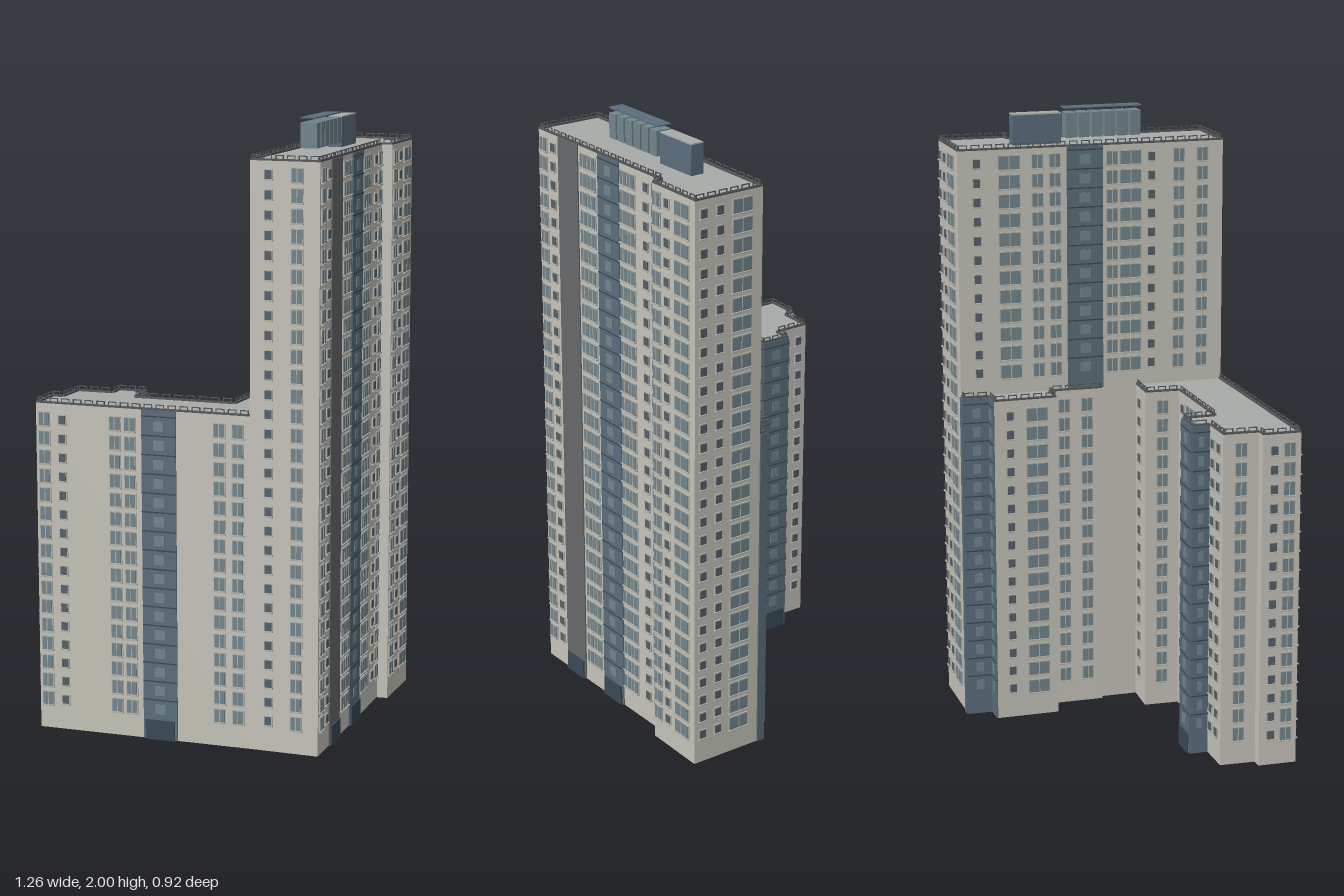
import * as THREE from 'three';
import { mergeGeometries } from 'three/addons/utils/BufferGeometryUtils.js';

const paint = (color) => new THREE.MeshStandardMaterial({ color });
const MAT = {
  wall: paint(0xc6c4ba), roof: paint(0xa9aba9), frame: paint(0xb4b3aa), glass: paint(0x71868d),
  darkGlass: paint(0x566168), blue: paint(0x5b6e7c), grey: paint(0x66696b),
  door: paint(0x384a56), rail: paint(0x55585a),
};
const TALL = 1.885, LOW = 1.085, BASE = 0.07, PITCH = 0.0622;
const TALL_FLOORS = 29, LOW_FLOORS = 16;

// Plan corners [x, z], each running left to right as seen from outside
const tallPlan = [[-0.165, 0.455], [0.415, 0.13], [0.435, 0.16], [0.63, 0.055], [0.51, -0.163], [-0.273, 0.255]];
const eastPlan = [[0.51, -0.163], [0.497, -0.186], [0.42, -0.15], [0.388, -0.207], [0.205, -0.108],
  [0.24, -0.037], [0.087, 0.044], [0.095, 0.059]];
const wingPlan = [[-0.013, 0.116], [-0.066, 0.01], [-0.168, 0.06], [-0.333, -0.234], [-0.242, -0.288],
  [-0.29, -0.38], [-0.34, -0.352], [-0.4, -0.458], [-0.503, -0.407], [-0.52, -0.437], [-0.63, -0.38], [-0.273, 0.255]];

// Window sizes [width, height, glass material]
const WINDOWS = {
  small: [0.022, 0.027, 'darkGlass'],
  medium: [0.034, 0.042, 'glass'],
  wide: [0.068, 0.042, 'glass'],
};

// Fronts: window columns [position 0..1, kind], strips [from, to, material, hasDoor]
const tallFacades = [
  { edge: 0, name: 'frontFacade',
    cols: [[0.045, 'medium'], [0.125, 'small'], [0.385, 'medium'], [0.452, 'medium'], [0.71, 'medium'],
      [0.77, 'medium'], [0.885, 'small'], [0.96, 'medium']],
    strips: [[0.17, 0.335, 'grey', true], [0.5, 0.67, 'blue', true]] },
  { edge: 2, name: 'frontStepFacade', cols: [[0.12, 'medium'], [0.36, 'small'], [0.71, 'wide']] },
  { edge: 3, name: 'eastEndFacade', cols: [[0.12, 'small'], [0.36, 'small'], [0.69, 'wide']] },
  { edge: 4, name: 'upperBackFacade', from: LOW_FLOORS + 1,
    cols: [[0.07, 'small'], [0.19, 'wide'], [0.295, 'medium'], [0.36, 'medium'], [0.575, 'medium'],
      [0.645, 'wide'], [0.725, 'small'], [0.83, 'medium'], [0.92, 'medium']],
    strips: [[0.405, 0.54, 'blue']] },
  { edge: 5, name: 'westEndFacade', cols: [[0.27, 'small'], [0.68, 'medium']] },
];
const eastFacades = [
  { edge: 0, name: 'recessSide', strips: [[0, 1, 'blue']] },
  { edge: 1, name: 'recessBack', strips: [[0, 1, 'blue']] },
  { edge: 2, name: 'baySide', strips: [[0, 1, 'blue']] },
  { edge: 3, name: 'bayFacade', cols: [[0.25, 'small'], [0.68, 'wide']] },
  { edge: 5, name: 'courtFacade', cols: [[0.25, 'medium'], [0.7, 'medium']] },
];
const wingFacades = [
  { edge: 0, name: 'cornerBayFacade', cols: [[0.45, 'small']] },
  { edge: 1, name: 'cornerBaySide', cols: [[0.5, 'medium']] },
  { edge: 2, name: 'innerFacade', cols: [[0.13, 'small'], [0.36, 'wide'], [0.6, 'medium'], [0.78, 'medium']] },
  { edge: 3, name: 'stairBaySide', strips: [[0, 1, 'blue']] },
  { edge: 4, name: 'stairBay', strips: [[0, 1, 'blue', true]] },
  { edge: 5, name: 'stairBayReturn', strips: [[0, 1, 'blue']] },
  { edge: 6, name: 'innerEndFacade', cols: [[0.3, 'small'], [0.72, 'small']] },
  { edge: 7, name: 'wingEndFacade', cols: [[0.5, 'medium']] },
  { edge: 9, name: 'wingEndStepFacade', cols: [[0.3, 'small'], [0.7, 'medium']] },
  { edge: 10, name: 'outerFacade',
    cols: [[0.04, 'medium'], [0.125, 'small'], [0.375, 'medium'], [0.445, 'medium'], [0.86, 'medium'], [0.945, 'medium']],
    strips: [[0.5, 0.66, 'blue', true]] },
];

function box(w, h, d, x, y, z) {
  return new THREE.BoxGeometry(w, h, d).translate(x, y, z);
}

// Group lying on a wall: local x runs along it, local z points outward
function wallGroup(a, b, name) {
  const dx = b[0] - a[0], dz = b[1] - a[1];
  const group = new THREE.Group();
  group.name = name;
  group.position.set(a[0], 0, a[1]);
  group.rotation.y = Math.atan2(-dz, dx);
  return { group, length: Math.hypot(dx, dz) };
}

function addMerged(group, parts) {
  for (const [key, list] of Object.entries(parts)) {
    const mesh = new THREE.Mesh(mergeGeometries(list), MAT[key]);
    mesh.name = key + 'Parts';
    group.add(mesh);
  }
}

function buildFacade(a, b, spec, floors, top) {
  const { group, length } = wallGroup(a, b, spec.name);
  const parts = {};
  const put = (key, ...dims) => (parts[key] ??= []).push(box(...dims));
  const first = spec.from ?? 0;
  // Full-height coloured strips with stair windows and doors
  for (const [t0, t1, key, door] of spec.strips ?? []) {
    const w = (t1 - t0) * length, x = (t0 + t1) / 2 * length;
    const bottom = first ? LOW : 0;
    put(key, w, top - bottom, 0.006, x, (top + bottom) / 2, 0.001);
    if (key === 'blue' && w > 0.04) {
      for (let i = first; i < floors; i++) {
        const y = BASE + (i + 0.5) * PITCH;
        put('glass', w * 0.3, 0.032, 0.004, x, y, 0.004);
        put('door', w, 0.004, 0.004, x, y + PITCH / 2, 0.0035);
      }
    }
    if (door) put('door', w * 0.85, 0.065, 0.014, x, 0.0325, 0.003);
  }
  // Columns of framed windows
  for (const [t, kind] of spec.cols ?? []) {
    const [w, h, glass] = WINDOWS[kind];
    for (let i = first; i < floors; i++) {
      const x = t * length, y = BASE + (i + 0.5) * PITCH;
      put('frame', w + 0.006, h + 0.006, 0.008, x, y, 0);
      put(glass, w, h, 0.012, x, y, 0);
      put('frame', w + 0.008, 0.004, 0.018, x, y - h / 2 - 0.003, 0);
      if (kind !== 'small') put('frame', 0.003, h, 0.014, x, y, 0);
    }
  }
  addMerged(group, parts);
  return group;
}

// Kerb, posts and broken top rail along one roof edge
function buildRailing(a, b, y) {
  const { group, length } = wallGroup(a, b, 'roofRailing');
  const rail = [box(length, 0.006, 0.008, length / 2, y + 0.003, -0.004)];
  const count = Math.max(1, Math.round(length / 0.04)), step = length / count;
  for (let i = 0; i < count; i++) {
    const x = (i + 0.5) * step;
    rail.push(box(step * 0.7, 0.003, 0.003, x, y + 0.0165, -0.004));
    for (const s of [-1, 1]) rail.push(box(0.003, 0.018, 0.003, x + s * step * 0.32, y + 0.009, -0.004));
  }
  addMerged(group, { rail });
  return group;
}

function buildBlock(name, plan, height, floors, facades, openEdges) {
  const group = new THREE.Group();
  group.name = name;
  const shape = new THREE.Shape(plan.map(([x, z]) => new THREE.Vector2(x, -z)));
  const geometry = new THREE.ExtrudeGeometry(shape, { depth: height, bevelEnabled: false }).rotateX(-Math.PI / 2);
  const body = new THREE.Mesh(geometry, [MAT.roof, MAT.wall]);
  body.name = 'walls';
  group.add(body);
  const corner = (i) => plan[i % plan.length];
  for (const f of facades) group.add(buildFacade(corner(f.edge), corner(f.edge + 1), f, floors, height));
  plan.forEach((p, i) => {
    if (!openEdges.includes(i)) group.add(buildRailing(p, corner(i + 1), height));
  });
  return group;
}

// Rooftop plant room set parallel to the tall block
function buildPlantRoom(name, x, z, w, d, h, roofKey) {
  const group = new THREE.Group();
  group.name = name;
  group.position.set(x, TALL, z);
  group.rotation.y = Math.atan2(0.325, 0.58);
  const parts = { blue: [box(w, h - 0.004, d, 0, h / 2 - 0.002, 0)], [roofKey + '']: [] };
  parts[roofKey].push(box(w, 0.004, d, 0, h - 0.002, 0));
  if (roofKey === 'blue') {
    parts.glass = [];
    for (let i = 0; i < 6; i++) {
      parts.glass.push(box(w / 6 - 0.008, h * 0.7, d + 0.004, (i - 2.5) * w / 6, h * 0.5, 0));
    }
  }
  addMerged(group, parts);
  return group;
}

export function createModel() {
  const model = new THREE.Group();
  model.name = 'apartmentBuilding';
  model.add(
    buildBlock('tallBlock', tallPlan, TALL, TALL_FLOORS, tallFacades, []),
    buildBlock('eastLowBlock', eastPlan, LOW, LOW_FLOORS, eastFacades, [7]),
    buildBlock('lowWing', wingPlan, LOW, LOW_FLOORS, wingFacades, [11]),
    buildPlantRoom('glazedPlantRoom', 0.1125, 0.161, 0.26, 0.051, 0.115, 'blue'),
    buildPlantRoom('smallPlantRoom', 0.307, 0.055, 0.16, 0.046, 0.1, 'roof'),
  );
  return model;
}
